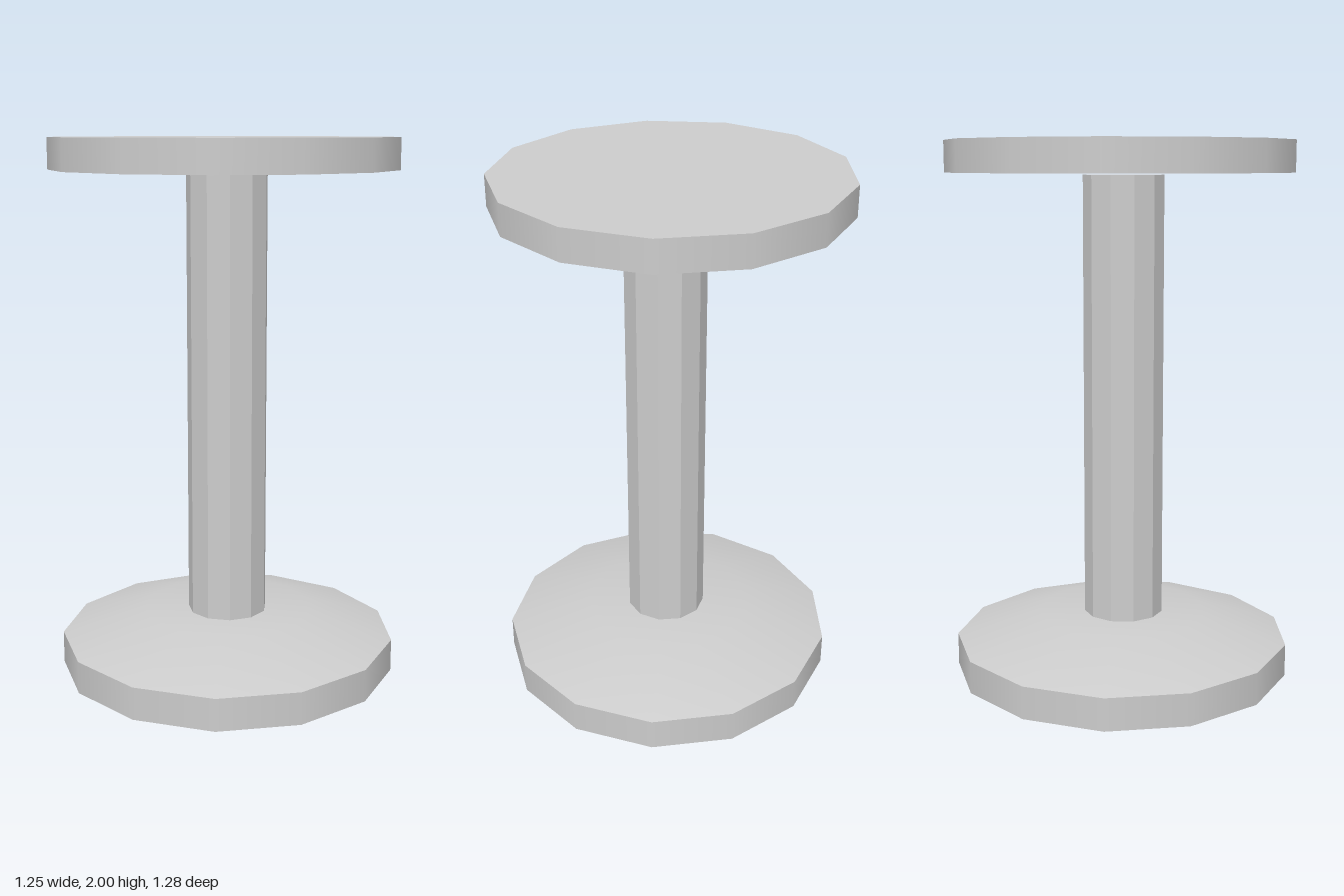
import * as THREE from 'three';

const SIDES = 13;
const RADIUS = 0.636;
const START = Math.PI / 2; // first corner points along +x

export function createModel() {
  const model = new THREE.Group();
  const smooth = new THREE.MeshStandardMaterial({ color: 0xcccccc });
  const faceted = new THREE.MeshStandardMaterial({ color: 0xcccccc, flatShading: true });

  const add = (name, geometry, material, x, y, z) => {
    const mesh = new THREE.Mesh(geometry, material);
    mesh.name = name;
    mesh.position.set(x, y, z);
    model.add(mesh);
  };

  // Upright prism standing between two heights
  const prism = (name, radius, sides, bottom, top, material, x, z) =>
    add(name, new THREE.CylinderGeometry(radius, radius, top - bottom, sides, 1, false, START),
      material, x, (bottom + top) / 2, z);

  // Base slab with a shallow sloped shoulder on top
  prism('baseSlab', RADIUS, SIDES, 0, 0.122, smooth, -0.01, 0.01);
  const slope = [[RADIUS, 0.122], [0.32, 0.217], [0, 0.217]].map(([r, y]) => new THREE.Vector2(r, y));
  add('baseShoulder', new THREE.LatheGeometry(slope, SIDES, START), smooth, -0.01, 0, 0.01);

  // Faceted column, stopping just short of the top
  prism('column', 0.15, 11, 0.215, 1.877, faceted, -0.015, 0.015);

  // Round top
  prism('topDisc', RADIUS, SIDES, 1.885, 2, smooth, -0.01, -0.008);

  return model;
}
